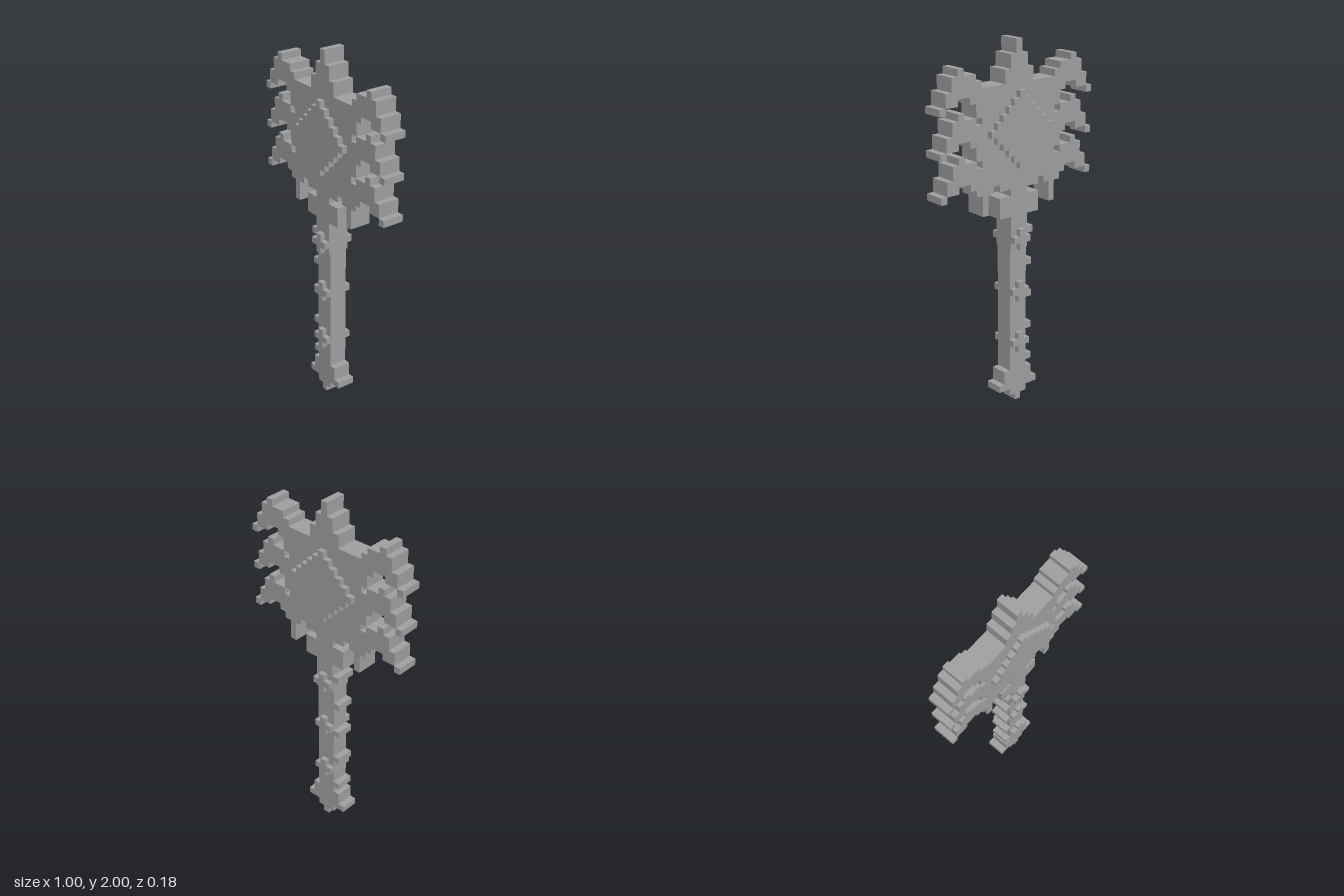
import * as THREE from 'three';

const CELL = 1 / 27; // pixel-art grid: 27 cells wide, 54 tall

export function createModel() {
  const model = new THREE.Group();
  model.name = 'ceremonialAxe';
  const grey = new THREE.MeshStandardMaterial({ color: 0xa0a0a0 });
  grey.name = 'stone grey';

  // Right half of an outline, from top to bottom, mirrored and extruded about z = 0
  function slab(name, half, depth) {
    const left = half.map(([x, y]) => [-x, y]).reverse();
    const points = [...half, ...left].map(([x, y]) => new THREE.Vector2(x * CELL, y * CELL));
    const geometry = new THREE.ExtrudeGeometry(new THREE.Shape(points), { depth: depth * 2, bevelEnabled: false });
    geometry.translate(0, 0, -depth);
    const mesh = new THREE.Mesh(geometry, grey);
    mesh.name = name;
    model.add(mesh);
  }

  // Single-cell block
  function block(name, col, row, depth) {
    const mesh = new THREE.Mesh(new THREE.BoxGeometry(CELL, CELL, depth * 2), grey);
    mesh.position.set(col * CELL, (row + 0.5) * CELL, 0);
    mesh.name = name;
    model.add(mesh);
  }

  const headDepth = 0.061, shaftDepth = 0.051;

  // Head: top spike, three stepped prongs a side, lower fangs and collar
  const head = [[0.5, 54], [0.5, 52], [1.5, 52], [1.5, 50], [2.5, 50], [2.5, 48], [6.5, 48]];
  for (const t of [45, 39, 33]) {
    const root = t === 33 ? t : t - 1;
    head.push(
      [6.5, t + 4], [7.5, t + 4], [7.5, t + 5], [9.5, t + 5], [9.5, t + 6], [10.5, t + 6],
      [10.5, t + 5], [11.5, t + 5], [11.5, t + 3], [12.5, t + 3], [12.5, t + 1], [10.5, t + 1],
      [10.5, t + 2], [8.5, t + 2], [8.5, t + 1], [7.5, t + 1], [7.5, root], [6.5, root]);
    for (const side of [-1, 1]) block('prongTip', side * 13, t, headDepth);
  }
  head.push(
    [6.5, 30], [5.5, 30], [5.5, 33], [4.5, 33], [4.5, 34], [3.5, 34], [3.5, 33], [1.5, 33],
    [1.5, 32], [3.5, 32], [3.5, 29], [1.5, 29], [1.5, 24]);
  slab('head', head, headDepth);

  // Shaft with stepped pommel
  slab('shaft', [[1.5, 24], [1.5, 5], [2.5, 5], [2.5, 3], [3.5, 3], [3.5, 2], [1.5, 2],
    [1.5, 1], [0.5, 1], [0.5, 0]], shaftDepth);

  // Thorns along one side of the shaft
  for (let row = 6; row <= 26; row += 5) block('thorn', -2, row, row > 24 ? headDepth : shaftDepth);

  // Raised stepped diamond, showing on both faces
  const diamond = [];
  for (let i = 0; i < 11; i++) {
    const w = 5.5 - Math.abs(i - 5);
    diamond.push([w, 47 - i], [w, 46 - i]);
  }
  slab('diamond', diamond, 0.09);

  // Raised crosses on the shaft
  for (const row of [24, 16, 8]) {
    slab('cross', [[0.5, row + 3], [0.5, row + 2], [1.5, row + 2], [1.5, row + 1],
      [0.5, row + 1], [0.5, row]], row === 24 ? 0.09 : 0.079);
  }
  return model;
}
